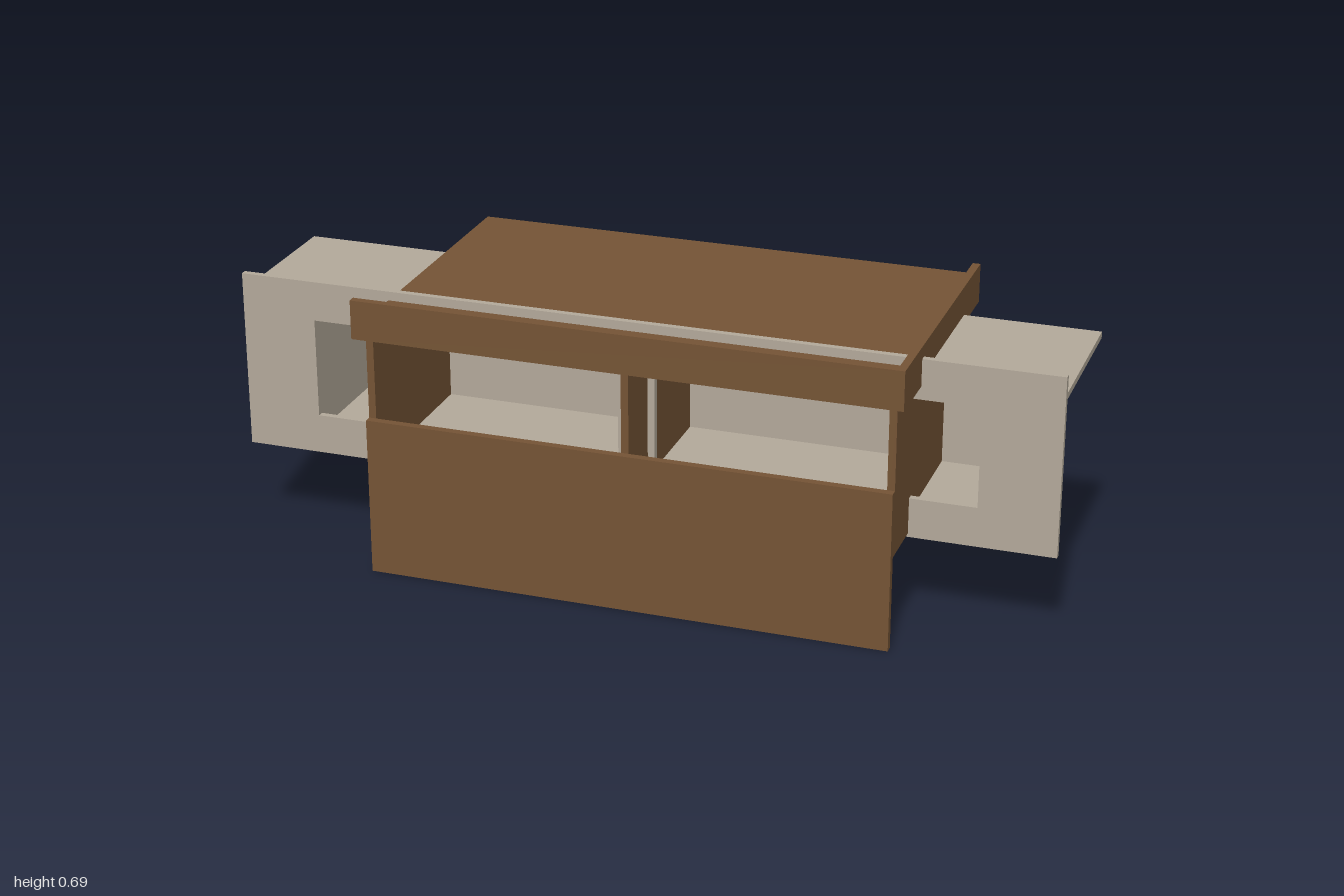
import * as THREE from 'three';

export function createModel() {
  const model = new THREE.Group();
  model.name = 'cabinet';
  const wood = new THREE.MeshStandardMaterial({ color: 0x755435 });
  wood.name = 'brown wood';
  const grey = new THREE.MeshStandardMaterial({ color: 0xb3a99a });
  grey.name = 'warm grey board';

  // A board given by its extents along x, y and z
  function board(parent, name, material, [x0, x1], [y0, y1], [z0, z1]) {
    const mesh = new THREE.Mesh(new THREE.BoxGeometry(x1 - x0, y1 - y0, z1 - z0), material);
    mesh.position.set((x0 + x1) / 2, (y0 + y1) / 2, (z0 + z1) / 2);
    mesh.name = name;
    parent.add(mesh);
  }

  // Brown outer case
  const outer = new THREE.Group();
  outer.name = 'outerCase';
  model.add(outer);
  const L = -0.62, R = 0.654;
  board(outer, 'frontPanel', wood, [L, R], [0, 0.392], [0.368, 0.387]);
  board(outer, 'topBoard', wood, [L, R], [0.62, 0.638], [-0.387, 0.368]);
  board(outer, 'frontRail', wood, [-0.648, 0.673], [0.594, 0.69], [0.368, 0.387]);
  board(outer, 'sideRail', wood, [R, 0.673], [0.594, 0.69], [-0.318, 0.368]);
  board(outer, 'bottomBoard', wood, [L, R], [0.228, 0.247], [-0.21, 0.368]);
  board(outer, 'backBoard', wood, [L, R], [0.247, 0.62], [-0.21, -0.191]);
  // Two ends and the middle divider
  [['rightEnd', L], ['divider', 0.008], ['leftEnd', R - 0.018]].forEach(([name, x]) =>
    board(outer, name, wood, [x, x + 0.018], [0.247, 0.62], [-0.191, 0.368]));

  // Grey inner carcass running through the case
  const inner = new THREE.Group();
  inner.name = 'innerCarcass';
  model.add(inner);
  const frameZ = [0.219, 0.235];
  board(inner, 'innerTop', grey, [-1, 1], [0.601, 0.617], [-0.164, 0.219]);
  board(inner, 'innerBottom', grey, [-0.815, 0.815], [0.26, 0.276], [-0.076, 0.219]);
  board(inner, 'innerBack', grey, [-0.831, 0.831], [0.26, 0.601], [-0.093, -0.076]);
  for (const s of [-1, 1]) {
    const a = s * 0.815, b = s * 0.831;
    board(inner, 'innerEnd', grey, [Math.min(a, b), Math.max(a, b)], [0.26, 0.601], [-0.076, 0.219]);
  }

  // Face frame with two openings
  board(inner, 'frameTopRail', grey, [-1, 1], [0.562, 0.66], frameZ);
  board(inner, 'frameBottomRail', grey, [-1, 1], [0.219, 0.316], frameZ);
  for (const span of [[-1, -0.815], [-0.047, 0.043], [0.813, 1]])
    board(inner, 'frameStile', grey, span, [0.316, 0.562], frameZ);

  return model;
}
